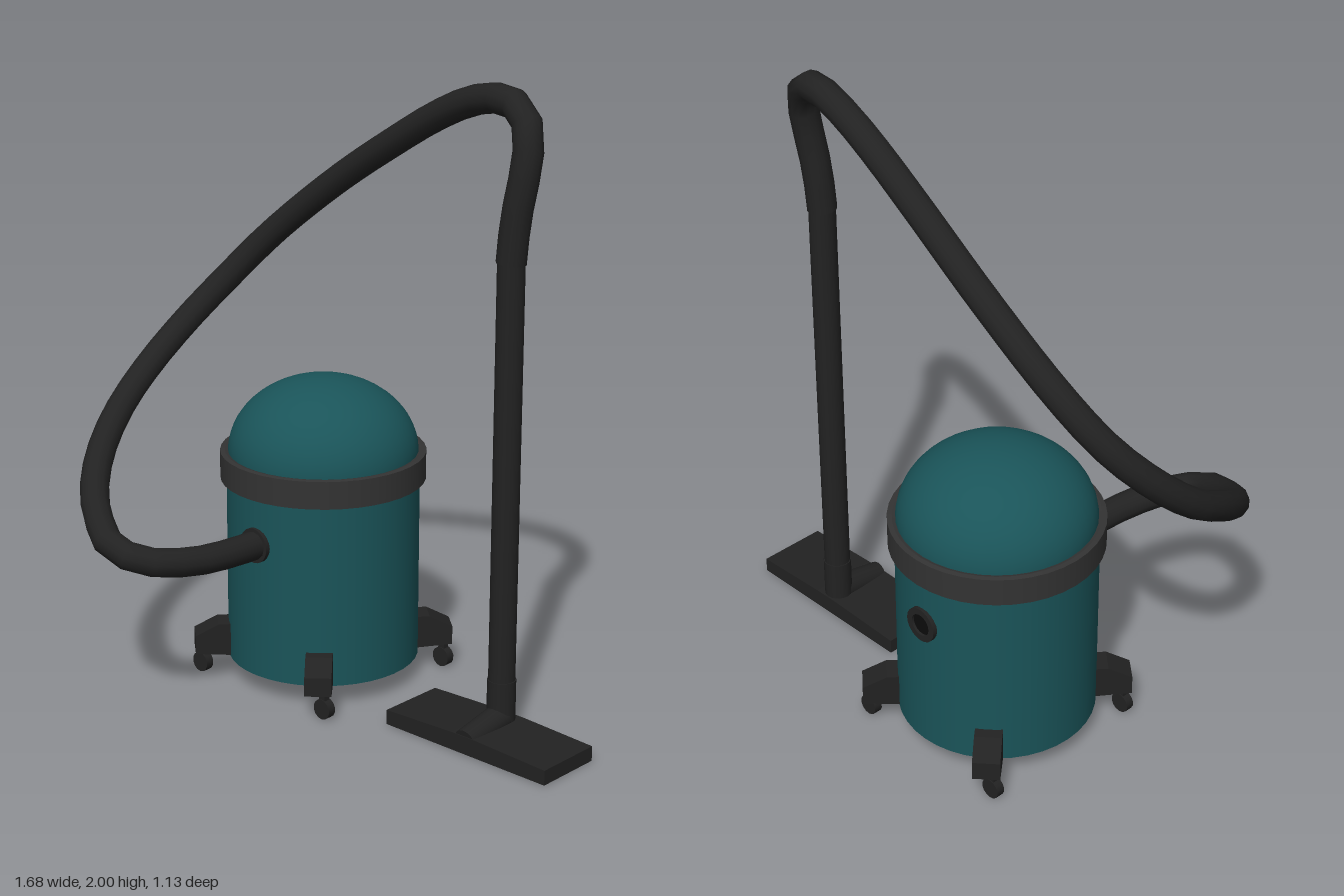
import * as THREE from 'three';

const paint = (color, side = THREE.FrontSide) => {
  const m = new THREE.MeshStandardMaterial({ side });
  m.color.set(color);
  return m;
};
const teal = paint(0x1a5459);
const black = paint(0x222222);
const blackOpen = paint(0x222222, THREE.DoubleSide);
const bandGrey = paint(0x333333);
const dark = paint(0x0c0c0c);

function add(parent, name, geometry, material, x = 0, y = 0, z = 0) {
  const mesh = new THREE.Mesh(geometry, material);
  mesh.name = name;
  mesh.position.set(x, y, z);
  parent.add(mesh);
  return mesh;
}

// Lathe from [radius, y] pairs; doubled points keep edges sharp
function turned(pairs, segments = 40) {
  return new THREE.LatheGeometry(pairs.map(([r, y]) => new THREE.Vector2(r, y)), segments);
}

function makeCanister() {
  const g = new THREE.Group();
  g.name = 'canister';
  g.position.set(-0.23, 0, -0.23);

  // Drum, clamp band and domed lid
  add(g, 'drum', new THREE.CylinderGeometry(0.31, 0.31, 0.63, 40), teal, 0, 0.385);
  add(g, 'band', turned([[0.29, 0.67], [0.33, 0.67], [0.33, 0.67], [0.33, 0.76],
    [0.33, 0.76], [0.315, 0.762], [0.315, 0.762], [0.29, 0.755]]), bandGrey);
  const dome = add(g, 'lid', new THREE.SphereGeometry(0.305, 40, 14, 0, Math.PI * 2, 0, Math.PI / 2), teal, 0, 0.755);
  dome.scale.y = 0.245 / 0.305;

  // Hose inlet at the front, exhaust port at the back
  for (const [name, s] of [['inlet', 1], ['exhaust', -1]]) {
    const ring = add(g, name + 'Ring', turned([[0.036, 0], [0.057, 0], [0.057, 0], [0.057, 0.03],
      [0.057, 0.03], [0.036, 0.03], [0.036, 0.03], [0.036, 0]], 20), blackOpen, 0, 0.515, s * 0.29);
    ring.rotation.x = s * Math.PI / 2;
    const hole = add(g, name + 'Hole', new THREE.CircleGeometry(0.045, 20), dark, 0, 0.515, s * 0.312);
    if (s < 0) hole.rotation.y = Math.PI;
  }

  // Four splayed feet with casters
  const profile = new THREE.Shape([[0.26, 0.072], [0.42, 0.083], [0.42, 0.145], [0.345, 0.183], [0.26, 0.183]]
    .map(([x, y]) => new THREE.Vector2(x, y)));
  const footGeo = new THREE.ExtrudeGeometry(profile, { depth: 0.085, bevelEnabled: false });
  footGeo.translate(0, 0, -0.0425);
  const wheelGeo = new THREE.CylinderGeometry(0.033, 0.033, 0.028, 14).rotateX(Math.PI / 2);
  const stemGeo = new THREE.BoxGeometry(0.024, 0.05, 0.022);
  for (const sx of [1, -1]) {
    for (const sz of [1, -1]) {
      const foot = add(g, 'foot', footGeo, black);
      foot.rotation.y = -Math.atan2(sz * 0.755, sx * 0.656);
      add(g, 'caster', wheelGeo, black, sx * 0.273, 0.033, sz * 0.285);
      add(g, 'casterStem', stemGeo, black, sx * 0.273, 0.068, sz * 0.285);
    }
  }
  return g;
}

function makeHose() {
  // Sweeps from the inlet, around the side, over the top and down to the wand
  const path = [
    [-0.23, 0.515, 0.05], [-0.232, 0.518, 0.2], [-0.25, 0.525, 0.33], [-0.305, 0.545, 0.46],
    [-0.4, 0.58, 0.52], [-0.51, 0.63, 0.48], [-0.61, 0.69, 0.41], [-0.7, 0.77, 0.3],
    [-0.765, 0.865, 0.16], [-0.797, 0.97, 0], [-0.77, 1.1, -0.15], [-0.69, 1.24, -0.265],
    [-0.55, 1.4, -0.335], [-0.3, 1.6, -0.363], [-0.05, 1.76, -0.353], [0.15, 1.875, -0.34],
    [0.3, 1.938, -0.325], [0.42, 1.957, -0.305], [0.505, 1.935, -0.285], [0.55, 1.87, -0.262],
    [0.555, 1.78, -0.245], [0.535, 1.63, -0.23], [0.525, 1.5, -0.225],
  ].map((p) => new THREE.Vector3(...p));
  return new THREE.TubeGeometry(new THREE.CatmullRomCurve3(path), 44, 0.046, 12);
}

function makeFloorHead() {
  const g = new THREE.Group();
  g.name = 'floorHead';
  g.position.set(0.528, 0, -0.16);

  // Hollow rim under a slightly peaked top plate
  const w = 0.3125, d = 0.115;
  const rect = (T, a, b) => new T([[-a, -b], [a, -b], [a, b], [-a, b]].map(([x, y]) => new THREE.Vector2(x, y)));
  const rim = rect(THREE.Shape, w, d);
  rim.holes.push(rect(THREE.Path, w - 0.025, d - 0.025));
  const rimGeo = new THREE.ExtrudeGeometry(rim, { depth: 0.034, bevelEnabled: false }).rotateX(-Math.PI / 2);
  add(g, 'headRim', rimGeo, black);
  const plate = new THREE.Shape([[-w, 0.032], [w, 0.032], [w, 0.048], [0.05, 0.058], [-0.05, 0.058], [-w, 0.048]]
    .map(([x, y]) => new THREE.Vector2(x, y)));
  const plateGeo = new THREE.ExtrudeGeometry(plate, { depth: 2 * d, bevelEnabled: false });
  add(g, 'headPlate', plateGeo, black, 0, 0, -d);

  // Tilted swivel neck lying on the plate
  const neck = add(g, 'neck', new THREE.CylinderGeometry(0.044, 0.04, 0.17, 16), black, 0, 0.052, 0.025);
  neck.rotation.x = -Math.PI / 2 + 0.17;
  return g;
}

export function createModel() {
  const model = new THREE.Group();
  model.name = 'vacuumCleaner';
  model.add(makeCanister(), makeFloorHead());
  add(model, 'hose', makeHose(), blackOpen);

  // Straight wand with a sleeve at its foot
  add(model, 'wand', new THREE.CylinderGeometry(0.042, 0.042, 1.47, 16), black, 0.526, 0.785, -0.225);
  add(model, 'wandSleeve', new THREE.CylinderGeometry(0.045, 0.045, 0.14, 16), black, 0.526, 0.12, -0.225);
  return model;
}
